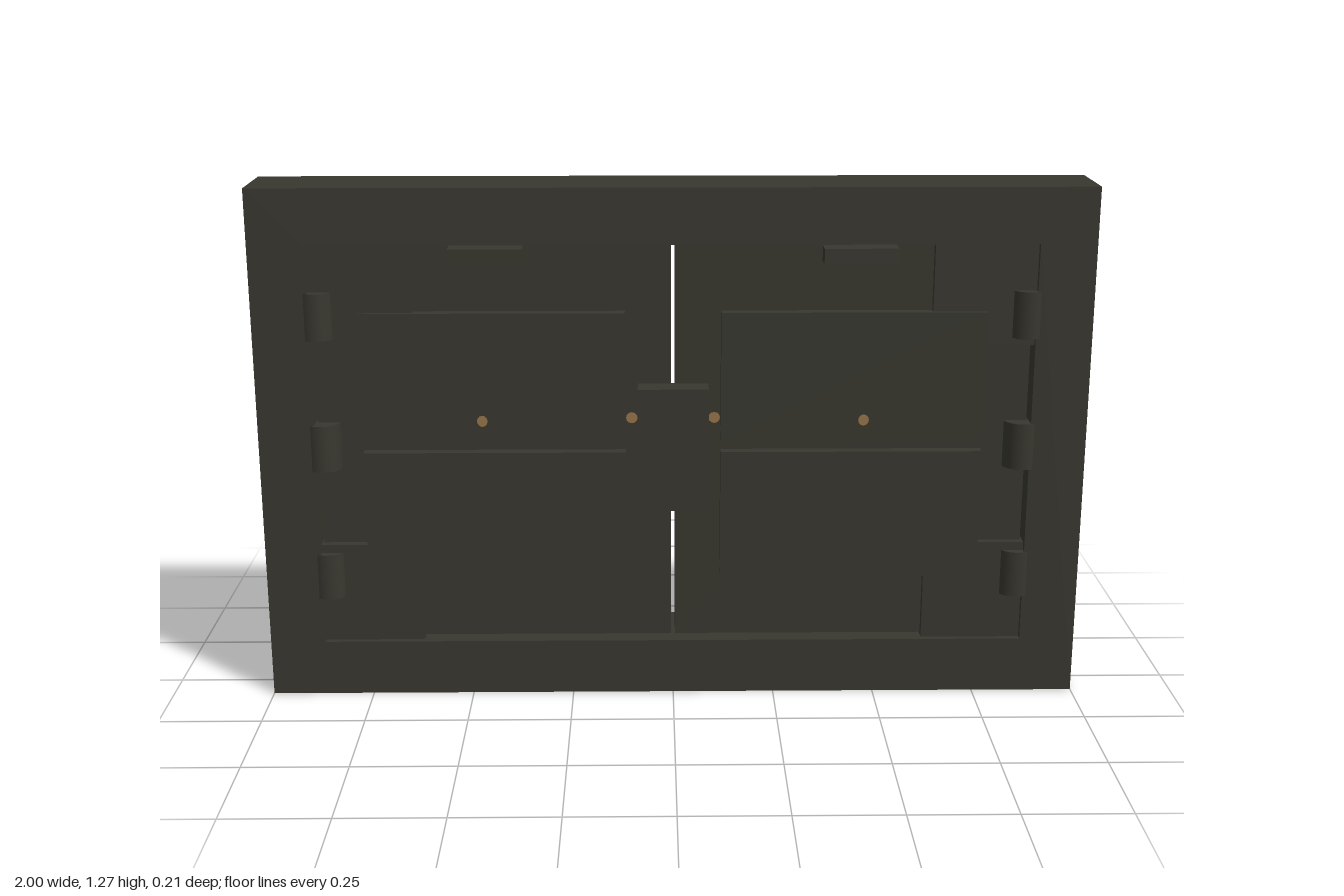
import * as THREE from 'three';

export function createModel() {
  const model = new THREE.Group();
  model.name = 'doubleGate';
  const iron = new THREE.MeshStandardMaterial({ color: 0x38372f });
  iron.name = 'dark iron';
  const rust = new THREE.MeshStandardMaterial({ color: 0x96744a });
  rust.name = 'worn brown';

  const add = (name, geometry, material = iron) => {
    const mesh = new THREE.Mesh(geometry, material);
    mesh.name = name;
    model.add(mesh);
    return mesh;
  };
  // Box given by its limits on each axis
  const box = (name, x0, x1, y0, y1, z0, z1) => {
    const mesh = add(name, new THREE.BoxGeometry(x1 - x0, y1 - y0, z1 - z0));
    mesh.position.set((x0 + x1) / 2, (y0 + y1) / 2, (z0 + z1) / 2);
    return mesh;
  };
  // The same box on both sides of the gate
  const pair = (name, x0, x1, ...rest) => {
    box(name + 'Left', x0, x1, ...rest);
    box(name + 'Right', -x1, -x0, ...rest);
  };
  // Flat elliptical worn mark
  const mark = (name, x, y, z, rx, ry, turn) => {
    const mesh = add(name, new THREE.CircleGeometry(1, 12), rust);
    mesh.scale.set(rx, ry, 1);
    mesh.rotation.y = turn;
    mesh.position.set(x, y, z);
  };

  // Outer frame with a rectangular opening
  const outline = new THREE.Shape([[-1, 0], [1, 0], [1, 1.27], [-1, 1.27]]
    .map(([x, y]) => new THREE.Vector2(x, y)));
  outline.holes.push(new THREE.Path([[-0.865, 0.138], [-0.865, 1.135], [0.865, 1.135], [0.865, 0.138]]
    .map(([x, y]) => new THREE.Vector2(x, y))));
  const frame = add('frame', new THREE.ExtrudeGeometry(outline, { depth: 0.19, bevelEnabled: false }));
  frame.position.z = -0.105;

  // Corner blocks, door leaves and their raised panels
  pair('lowerCorner', 0.62, 0.865, 0.138, 0.388, -0.09, 0.07);
  pair('upperCorner', 0.62, 0.865, 0.888, 1.135, -0.09, 0.07);
  pair('doorLeaf', 0.005, 0.86, 0.143, 1.13, -0.04, 0.05);
  pair('lowerPanel', 0.115, 0.75, 0.303, 0.625, 0.04, 0.078);
  pair('upperPanel', 0.115, 0.75, 0.65, 0.97, 0.04, 0.078);

  // Central lock and the lugs at the top
  box('lock', -0.085, 0.085, 0.485, 0.79, 0.045, 0.108);
  pair('topLug', 0.355, 0.53, 1.09, 1.128, 0.045, 0.102);

  // Hinge barrels
  for (const side of [-1, 1]) {
    for (const y of [0.31, 0.638, 0.963]) {
      const hinge = add('hinge', new THREE.CylinderGeometry(0.045, 0.045, 0.115, 24));
      hinge.position.set(side * 0.85, y, 0.047);
    }
    // Worn marks on panels, leaves and frame sides
    mark('panelMark', side * 0.46, 0.705, 0.079, 0.013, 0.014, 0);
    mark('lockMark', side * 0.1, 0.705, 0.051, 0.014, 0.014, 0);
    mark('backMark', side * 0.047, 0.71, -0.041, 0.04, 0.018, Math.PI);
    mark('sideMark', side * 1.0005, 0.71, -0.01, 0.014, 0.014, side * Math.PI / 2);
  }
  return model;
}
